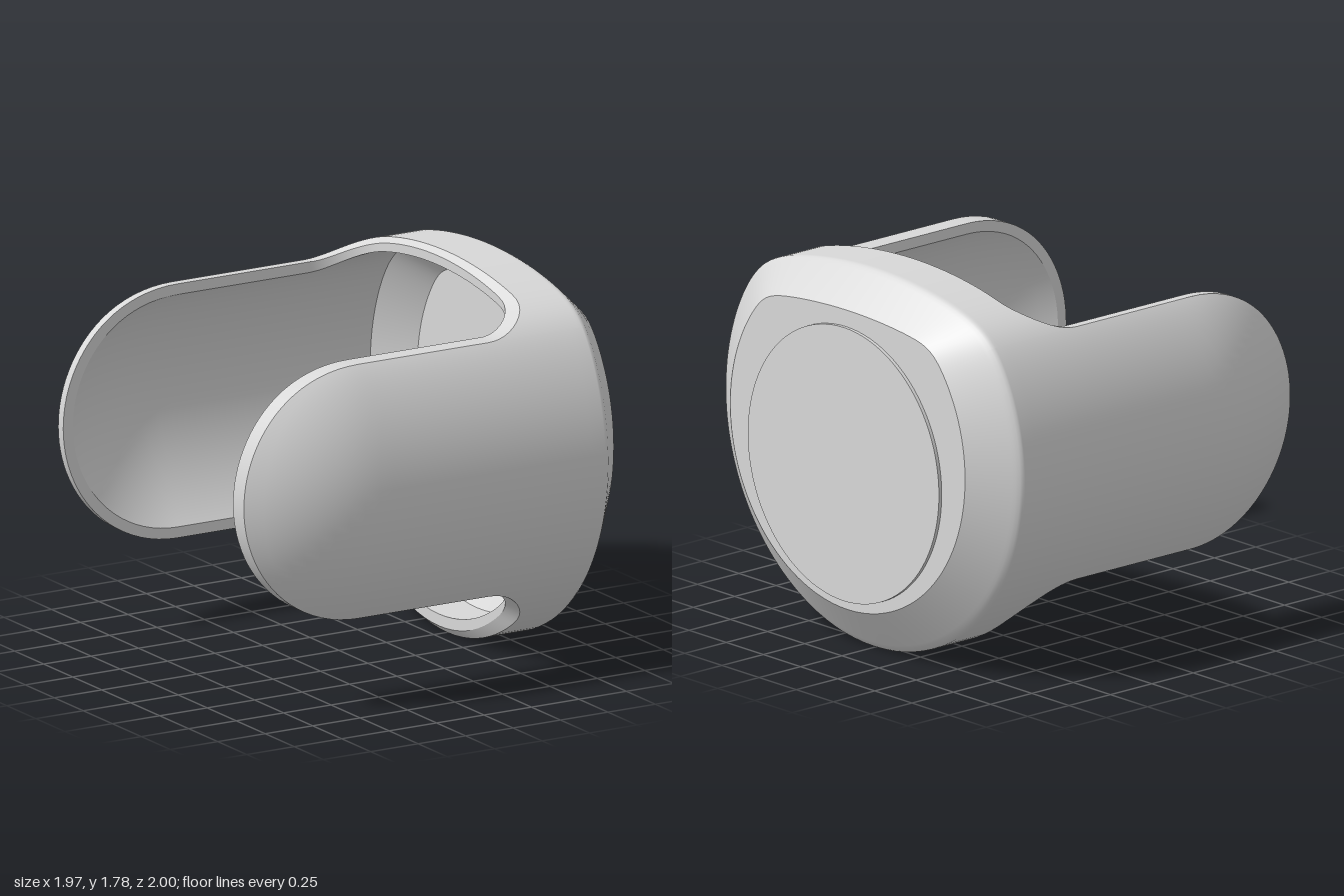
import * as THREE from 'three';

const DOME_X = -0.39; // where the wings start to round off into a spherical tip
const CUT = 0.8;      // half width of the slot between the wings
const INNER = 0.915, SHIFT = -0.025; // cavity scale and sideways offset

// Radius of the cross-section: a unit circle blended into a shallow arched top.
// sharp runs from 0 (rounded corners) to 1 (flatter arch, tighter corners)
function radius(phi, sharp = 0) {
  const s = Math.sin(phi), c2 = Math.cos(phi) ** 2 * (0.2 - 0.08 * sharp);
  if (s <= 0) return 1;
  const arch = 2 * 0.78 / (s + Math.sqrt(s * s + 4 * c2 * 0.78));
  const n = 24 + 8 * sharp;
  return Math.pow(1 + Math.pow(arch, -n), -1 / n);
}

function sectionPoint(phi, x, scale, shift = 0, sharp = 0) {
  const r = radius(phi, sharp) * scale;
  return new THREE.Vector3(x, 1 + r * Math.sin(phi), r * Math.cos(phi) + shift);
}

// Columns around the section, in four arcs: front wing, top, back wing, bottom
function makeColumns() {
  let lo = 0.3, hi = 1;
  for (let i = 0; i < 40; i++) {
    const mid = (lo + hi) / 2;
    if (radius(mid) * Math.cos(mid) > CUT) lo = mid; else hi = mid;
  }
  const up = lo, down = Math.acos(CUT), P = Math.PI;
  const arcs = [[-down, up, true], [up, P - up, false], [P - up, P + down, true], [P + down, 2 * P - down, false]];
  const columns = [], n = 44;
  for (const [a, b, wing] of arcs) {
    for (let i = 0; i <= n; i++) {
      const t = Math.sin((i / n - 0.5) * P);
      columns.push({ phi: (a + b) / 2 + (b - a) / 2 * t, wing });
    }
  }
  columns.push({ ...columns[0] });
  return columns;
}

// x at which the shell begins for a column
function startX({ phi, wing }, scale, depth) {
  const z = Math.abs(radius(phi) * Math.cos(phi));
  if (wing) return DOME_X - scale * Math.sqrt(Math.max(0, 1 - (CUT / z) ** 2));
  const f = Math.min(1, Math.max(0, (z - 0.57) / (CUT - 0.57)));
  return 0.3 + depth * Math.sqrt(1 - f * f);
}

// Point on the shell wall, with the spherical rounding at the wing tips
function wallPoint(phi, x, scale, shift) {
  const d = Math.min(0, x - DOME_X) / scale;
  return sectionPoint(phi, x, scale * Math.sqrt(1 - d * d), shift);
}

// Surface from columns of points
function loft(columns, flip) {
  const rows = columns[0].length, pos = [], index = [];
  columns.forEach(col => col.forEach(p => pos.push(p.x, p.y, p.z)));
  for (let i = 0; i < columns.length - 1; i++) {
    for (let j = 0; j < rows - 1; j++) {
      const a = i * rows + j, b = a + 1, c = a + rows, d = c + 1;
      if (flip) index.push(a, c, b, b, c, d);
      else index.push(a, b, c, b, d, c);
    }
  }
  const g = new THREE.BufferGeometry();
  g.setAttribute('position', new THREE.Float32BufferAttribute(pos, 3));
  g.setIndex(index);
  g.computeVertexNormals();
  return g;
}

export function createModel() {
  const group = new THREE.Group();
  const grey = new THREE.MeshStandardMaterial({ color: 0xd8d8d8, side: THREE.DoubleSide });
  grey.name = 'plain grey';
  const add = (name, geometry) => {
    const mesh = new THREE.Mesh(geometry, grey);
    mesh.name = name;
    group.add(mesh);
    return mesh;
  };

  const columns = makeColumns();
  const wall = (c, scale, shift, depth, end) => {
    const x0 = startX(c, scale, depth), pts = [];
    for (let j = 0; j <= 24; j++) pts.push(wallPoint(c.phi, x0 + (end - x0) * j / 24, scale, shift));
    return pts;
  };
  // Each ring is [x, scale, sharpness]
  const rings = (list, shift) => columns.map(c => list.map(([x, s, k]) => sectionPoint(c.phi, x, s, shift, k)));

  // Outer shell with softly rounded shoulder and sloping bevel
  const outer = columns.map(c => wall(c, 1, 0, 0.27, 0.79));
  const shoulder = rings([[0.8, 0.998, 0], [0.812, 0.991, 0], [0.825, 0.976, 0.05],
    [0.835, 0.963, 0.12], [0.9, 0.877, 0.55], [0.965, 0.79, 1]], 0);
  add('outerShell', loft(outer.map((col, i) => [...col, ...shoulder[i]])));

  // End plate and raised round pad
  add('endPlate', loft(rings([[0.965, 0.79, 1], [0.965, 0, 1]], 0)));
  const pad = add('roundPad', new THREE.CylinderGeometry(0.643, 0.643, 0.02, 96));
  pad.rotation.z = -Math.PI / 2;
  pad.position.set(0.972, 0.895, 0.01);

  // Cavity: wall, sloping step and floor
  const inner = columns.map(c => wall(c, INNER, SHIFT, 0.24, 0.74));
  add('innerWall', loft(inner, true));
  add('innerSlope', loft(rings([[0.74, INNER, 0], [0.88, 0.74, 0.8]], SHIFT), true));
  add('innerFloor', loft(rings([[0.88, 0.74, 0.8], [0.88, 0, 0.8]], SHIFT), true));

  // Rim around the slot: an edge strip, then a flat lip facing into the slot
  const middle = columns.map((c, i) => {
    const o = outer[i][0], n = inner[i][0];
    const w = Math.max(0, (o.x - 0.3) / 0.27);
    return new THREE.Vector3(c.wing ? o.x : n.x, o.y + (n.y - o.y) * 0.35 * w, n.z);
  });
  add('rimEdge', loft(middle.map((m, i) => [outer[i][0], m]), true));
  add('rimLip', loft(middle.map((m, i) => [m, inner[i][0]]), true));

  return group;
}
